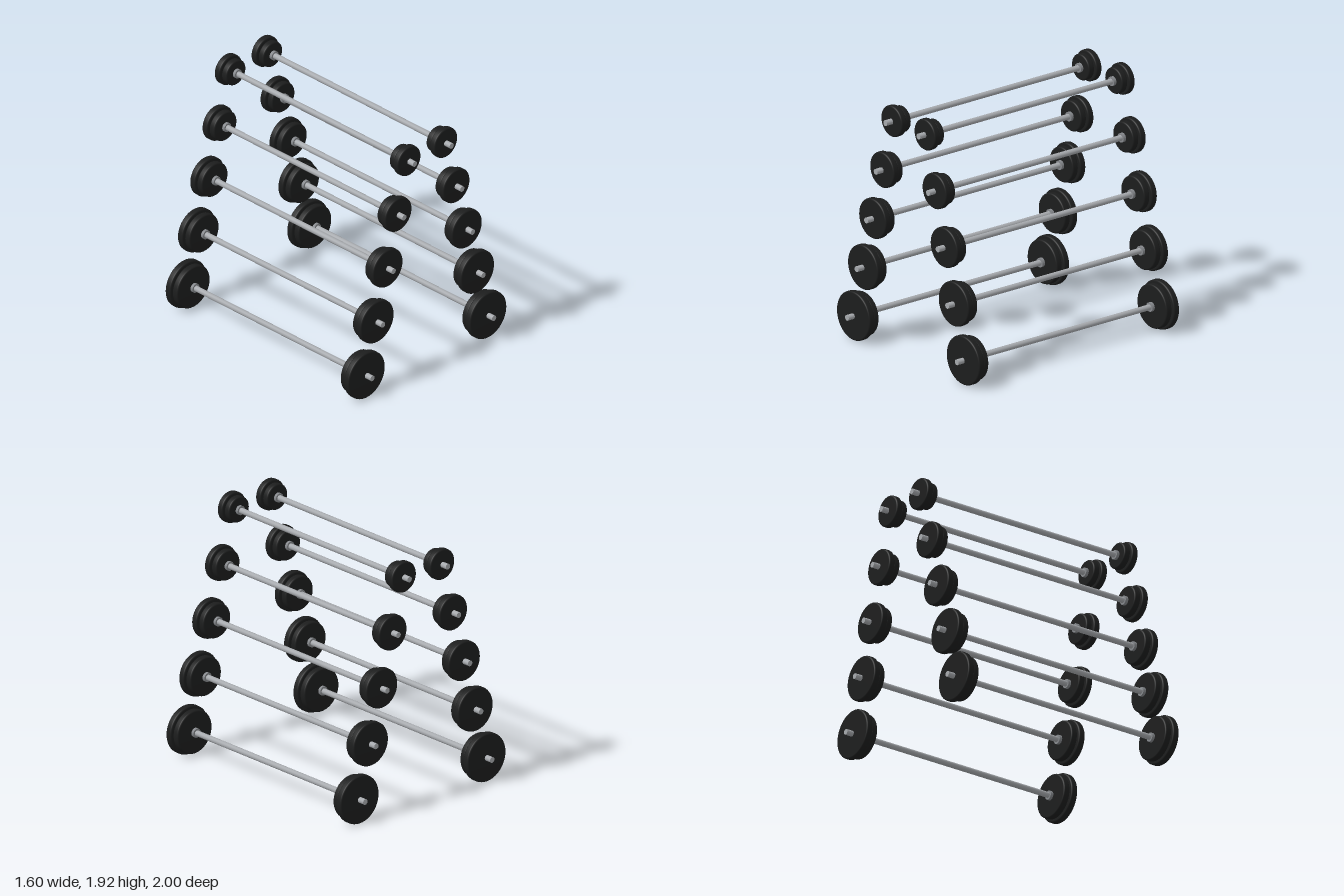
import * as THREE from 'three';

const steel = new THREE.MeshStandardMaterial({ name: 'steel', color: 0xa6a9ad });
const collarSteel = new THREE.MeshStandardMaterial({ name: 'collarSteel', color: 0x85888c });
const rubber = new THREE.MeshStandardMaterial({ name: 'blackRubber', color: 0x1c1d1d });

// Cylinder lying along z
function rod(name, radius, length, z, material) {
  const geometry = new THREE.CylinderGeometry(radius, radius, length, 24);
  geometry.rotateX(Math.PI / 2);
  const mesh = new THREE.Mesh(geometry, material);
  mesh.name = name;
  mesh.position.z = z;
  return mesh;
}

// Weight disc with a softly rounded rim
function plate(name, radius, thickness, z) {
  const h = thickness / 2, r = 0.012;
  const profile = [new THREE.Vector2(0, -h), new THREE.Vector2(radius - r, -h)];
  for (const side of [-1, 1]) {
    for (let i = 0; i <= 4; i++) {
      const a = (side < 0 ? i - 4 : i) * Math.PI / 8;
      profile.push(new THREE.Vector2(radius - r + r * Math.cos(a), side * (h - r) + r * Math.sin(a)));
    }
  }
  profile.push(new THREE.Vector2(0, h));
  // Drop coincident neighbours
  const points = profile.filter((p, i) => i === 0 || p.distanceTo(profile[i - 1]) > 1e-5);
  const geometry = new THREE.LatheGeometry(points, 48);
  geometry.rotateX(Math.PI / 2);
  const mesh = new THREE.Mesh(geometry, rubber);
  mesh.name = name;
  mesh.position.z = z;
  return mesh;
}

function barbell(radius) {
  const group = new THREE.Group();
  group.name = 'barbell';
  group.add(rod('bar', 0.0215, 2, 0, steel));
  for (const s of [1, -1]) {
    group.add(
      rod('collar', 0.035, 0.03, s * 0.829, collarSteel),
      plate('innerPlate', radius - 0.019, 0.052, s * 0.862),
      plate('outerPlate', radius, 0.052, s * 0.917),
    );
  }
  return group;
}

export function createModel() {
  const model = new THREE.Group();
  model.name = 'barbellRackSet';
  // Two leaning columns, heaviest bars at the bottom
  for (const side of [1, -1]) {
    for (let i = 0; i < 5; i++) {
      const bell = barbell(0.186 - i * 0.017);
      bell.position.set(side * (0.615 - i * 0.1073), 0.187 + i * 0.4028, 0);
      model.add(bell);
    }
  }
  return model;
}
